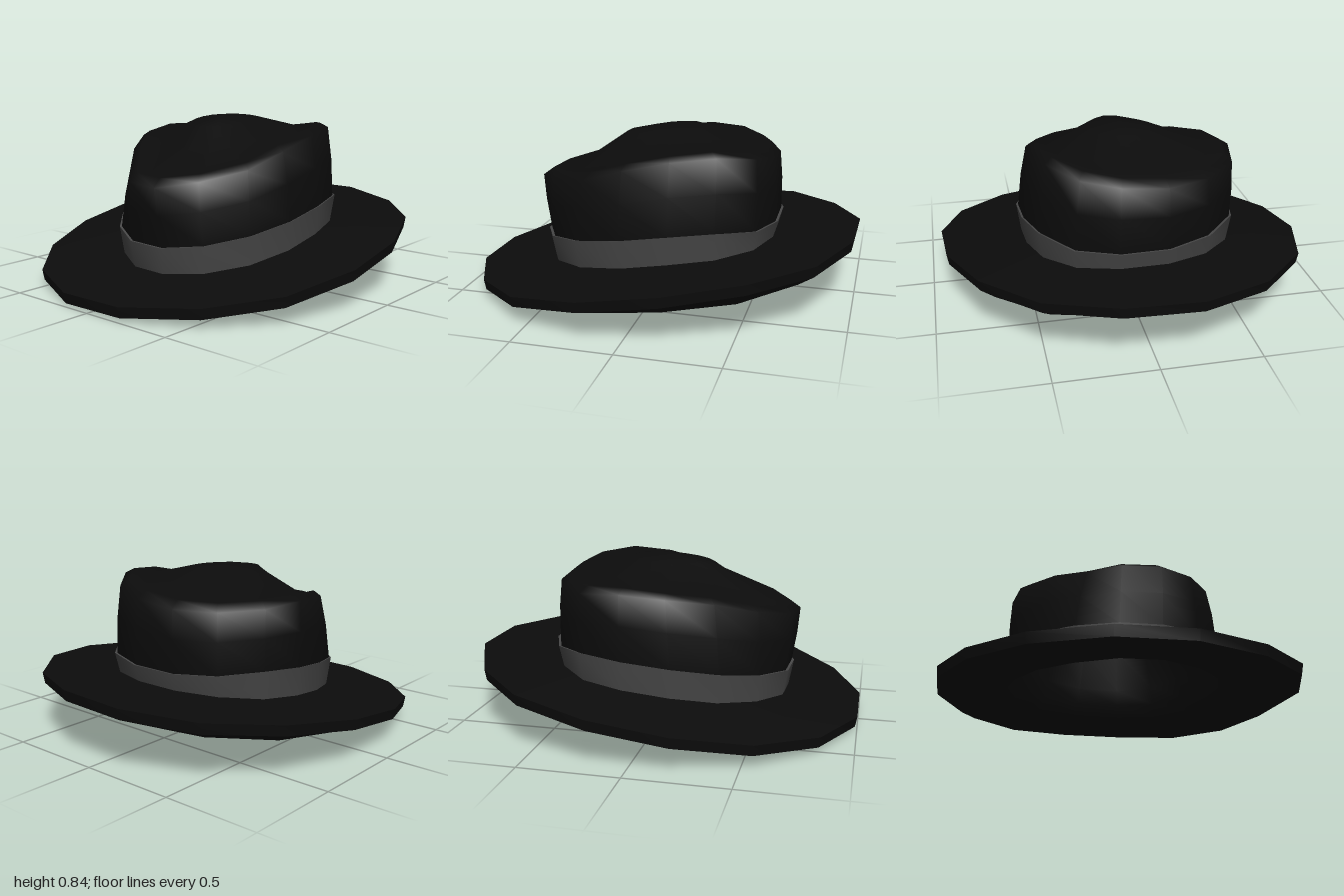
import * as THREE from 'three';
import { toCreasedNormals } from 'three/addons/utils/BufferGeometryUtils.js';

const SIDES = 16;

// Outlines as [x, z], from the front round by the left side
const BRIM = [[0.21, 1], [0.56, 0.84], [0.82, 0.57], [0.94, 0.2], [0.92, -0.19], [0.78, -0.56],
  [0.52, -0.84], [0.17, -0.99], [-0.21, -1], [-0.56, -0.84], [-0.82, -0.57], [-0.94, -0.19],
  [-0.92, 0.2], [-0.78, 0.56], [-0.52, 0.84], [-0.16, 1]];
const BAND = [[0.13, 0.645], [0.32, 0.55], [0.465, 0.37], [0.53, 0.13], [0.525, -0.12], [0.465, -0.35],
  [0.315, -0.53], [0.1, -0.6], [-0.15, -0.595], [-0.37, -0.51], [-0.53, -0.35], [-0.58, -0.13],
  [-0.535, 0.11], [-0.44, 0.34], [-0.28, 0.52], [-0.08, 0.635]];
const CROWN = [[0.12, 0.67], [0.29, 0.55], [0.42, 0.34], [0.465, 0.12], [0.47, -0.12], [0.42, -0.34],
  [0.28, -0.51], [0.09, -0.57], [-0.14, -0.57], [-0.35, -0.49], [-0.52, -0.34], [-0.565, -0.13],
  [-0.53, 0.09], [-0.39, 0.3], [-0.22, 0.49], [-0.07, 0.645]];
const WALL = CROWN.map(([x, z], i) => [(x + BAND[i][0]) / 2, (z + BAND[i][1]) / 2]);

// Piecewise-linear function of z, from front to back
function along(points) {
  return z => {
    if (z >= points[0][0]) return points[0][1];
    const i = points.findIndex(p => z >= p[0]);
    if (i < 0) return points[points.length - 1][1];
    const [z0, y0] = points[i - 1], [z1, y1] = points[i];
    return y0 + (y1 - y0) * (z - z0) / (z1 - z0);
  };
}

// An outline scaled about its middle and laid on a height rule
function ring(outline, scale, height) {
  const cx = outline.reduce((s, p) => s + p[0], 0) / SIDES;
  const cz = outline.reduce((s, p) => s + p[1], 0) / SIDES;
  return outline.map(p => {
    const x = cx + (p[0] - cx) * scale, z = cz + (p[1] - cz) * scale;
    return [x, height(x, z), z];
  });
}

// Skin a list of rings, with optional first and last points
function loft(rings, crease, first, last) {
  const pos = rings.flat(2), index = [];
  for (let j = 0; j < rings.length - 1; j++) {
    for (let i = 0; i < SIDES; i++) {
      const k = (i + 1) % SIDES;
      const a = j * SIDES + i, b = a + SIDES, c = (j + 1) * SIDES + k, d = j * SIDES + k;
      index.push(a, b, c, a, c, d);
    }
  }
  const cap = (point, base, flip) => {
    const n = pos.length / 3;
    pos.push(...point);
    for (let i = 0; i < SIDES; i++) {
      const a = base + i, b = base + (i + 1) % SIDES;
      index.push(n, flip ? b : a, flip ? a : b);
    }
  };
  if (first) cap(first, 0, false);
  if (last) cap(last, (rings.length - 1) * SIDES, true);
  const g = new THREE.BufferGeometry();
  g.setAttribute('position', new THREE.Float32BufferAttribute(pos, 3));
  g.setIndex(index);
  return toCreasedNormals(g, crease);
}

export function createModel() {
  const hat = new THREE.Group();
  hat.name = 'hat';
  const felt = new THREE.MeshStandardMaterial({ color: 0x0c0c0c });
  const ribbon = new THREE.MeshStandardMaterial({ color: 0x484848 });
  const add = (name, geometry, material) => {
    const m = new THREE.Mesh(geometry, material);
    m.name = name;
    hat.add(m);
  };

  // Height rules for the tilted brim, the band and the crown's twisted rim
  const brimLine = along([[1, 0.07], [0.84, 0.09], [0.56, 0.13], [0.2, 0.19],
    [-0.2, 0.25], [-0.56, 0.295], [-0.84, 0.315], [-1, 0.34]]);
  const brimTop = (x, z) => brimLine(z) + 0.015 * x;
  const belly = along([[0.9, 0], [0.76, 0.015], [0.5, 0.062], [0.18, 0.12],
    [-0.17, 0.15], [-0.5, 0.175], [-0.76, 0.205], [-0.9, 0.24]]);
  const seatLine = along([[0.6, 0.13], [-0.1, 0.25], [-0.6, 0.305]]);
  const seat = (x, z) => seatLine(z);
  const bandLine = along([[0.65, 0.26], [0.3, 0.335], [-0.1, 0.4], [-0.35, 0.42], [-0.6, 0.39]]);
  const bandTop = (x, z) => bandLine(z);
  const rimLine = along([[0.67, 0.58], [0.62, 0.595], [0.47, 0.625], [0.2, 0.705],
    [0, 0.755], [-0.25, 0.785], [-0.45, 0.767], [-0.57, 0.74]]);
  const rimRoll = along([[0.5, 0], [0.3, -0.03], [0, 0.02], [-0.13, 0.03], [-0.45, 0.09]]);
  const rim = (x, z) => rimLine(z) + rimRoll(z) * x;
  const raise = (f, d) => (x, z) => f(x, z) + d;
  const wall = (x, z) => (bandTop(x, z) + rim(x, z)) / 2;

  // Teardrop crown: dome, gutter, rim, then the wall down into the brim
  add('crown', loft([
    ring(CROWN, 0.32, (x, z) => 0.82 - 0.08 * z),
    ring(CROWN, 0.78, raise(rim, -0.025)),
    ring(CROWN, 0.92, rim),
    ring(CROWN, 1, raise(rim, -0.025)),
    ring(WALL, 1, wall),
    ring(BAND, 0.98, bandTop),
    ring(BAND, 0.94, raise(seat, -0.02)),
  ], 1.2, [-0.02, 0.843, 0]), felt);

  // Band with a thin top lip
  add('band', loft([
    ring(BAND, 0.97, raise(bandTop, -0.005)),
    ring(BAND, 1, bandTop),
    ring(BAND, 0.96, raise(seat, -0.005)),
  ], 0.8), ribbon);

  // Brim: upper face and thin edge
  add('brim', loft([
    ring(BAND, 0.93, seat),
    ring(BRIM, 1, brimTop),
    ring(BRIM, 0.99, raise(brimTop, -0.055)),
  ], 0.7), felt);

  // Underside of the brim, running smoothly up into the hollow crown
  add('lining', loft([
    ring(BRIM, 0.99, raise(brimTop, -0.055)),
    ring(BRIM, 0.9, (x, z) => belly(z)),
    ring(BAND, 1, raise(seat, -0.05)),
    ring(BAND, 0.93, raise(seat, 0.02)),
    ring(BAND, 0.89, bandTop),
    ring(CROWN, 0.84, raise(rim, -0.14)),
  ], 1.2, null, [-0.03, 0.62, 0.02]), felt);

  return hat;
}
